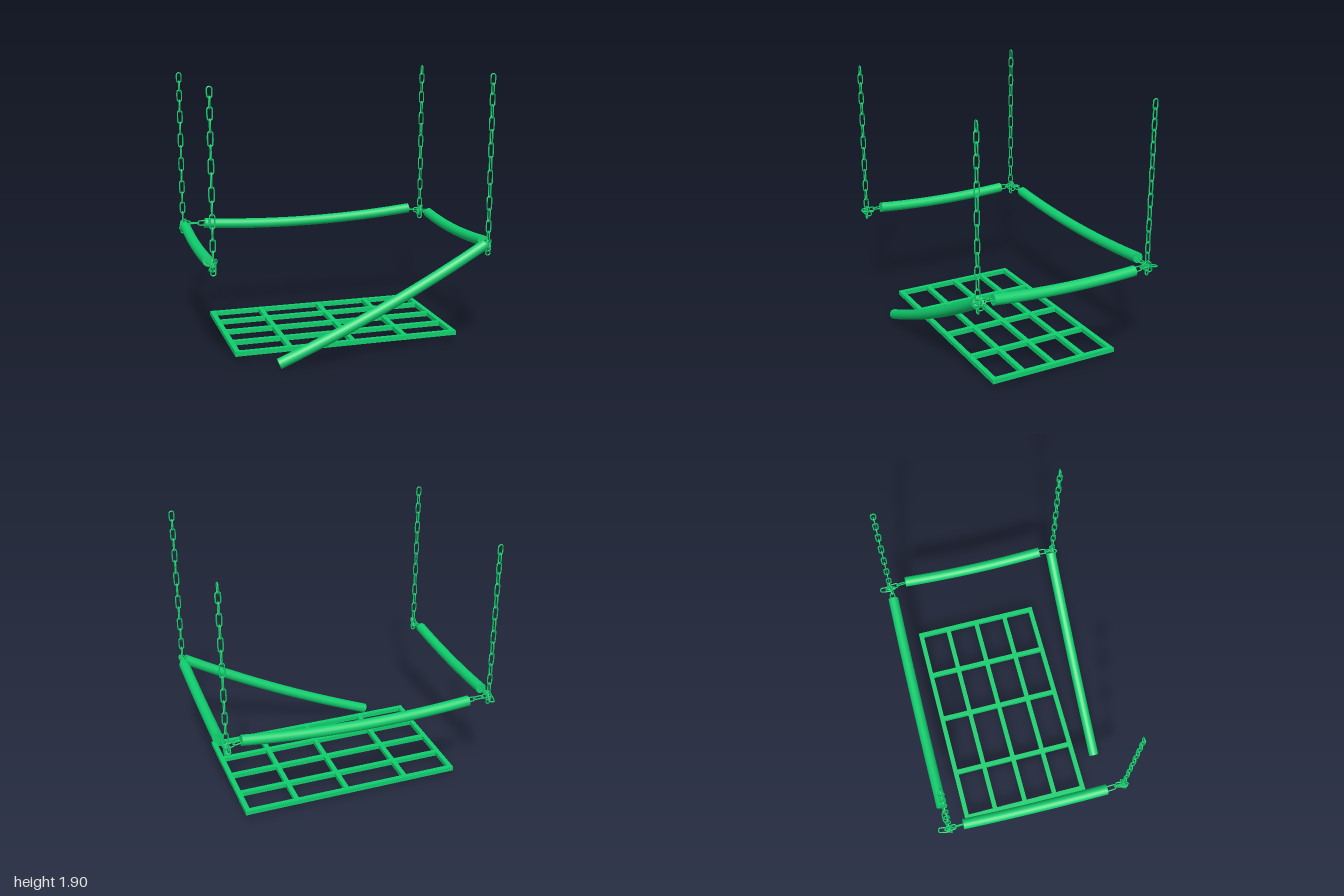
import * as THREE from 'three';

const material = new THREE.MeshStandardMaterial({ color: 0x0fcf6e });
const V = (x, y, z) => new THREE.Vector3(x, y, z);
const UP = V(0, 1, 0);
const WIRE = 0.005;

function add(parent, geometry, name) {
  const mesh = new THREE.Mesh(geometry, material);
  mesh.name = name;
  parent.add(mesh);
  return mesh;
}

// Oval chain link: a torus whose halves are pulled apart along y
function linkGeometry(length) {
  const radius = 0.017;
  const geometry = new THREE.TorusGeometry(radius, WIRE, 6, 16);
  const pos = geometry.attributes.position;
  const stretch = Math.max(0, length / 2 - radius - WIRE);
  for (let i = 0; i < pos.count; i++) {
    const y = pos.getY(i);
    if (Math.abs(y) > 1e-5) pos.setY(i, y + Math.sign(y) * stretch);
  }
  return geometry;
}

// Chain between two points; links turn a quarter turn each and are longest mid-chain
function chain(parent, name, from, to, count, phase = 0, swell = 0) {
  const group = new THREE.Group();
  group.name = name;
  parent.add(group);
  const dir = to.clone().sub(from);
  const total = dir.length();
  dir.normalize();
  const turn = new THREE.Quaternion().setFromUnitVectors(UP, dir);
  const weights = [];
  for (let i = 0; i < count; i++) {
    weights.push(1 + swell * Math.sin(Math.PI * (i + 0.5) / count));
  }
  const unit = (total - 4 * WIRE) / weights.reduce((a, b) => a + b, 0);
  let at = 2 * WIRE;
  weights.forEach((w, i) => {
    const pitch = w * unit;
    const link = add(group, linkGeometry(pitch + 4 * WIRE), 'chainLink');
    link.position.copy(from).addScaledVector(dir, at + pitch / 2);
    link.quaternion.copy(turn);
    link.rotateY((i + phase) % 2 ? Math.PI / 2 : 0);
    at += pitch;
  });
}

// Sagging padded tube with closed ends
function tube(parent, name, from, mid, to, radius = 0.037) {
  const group = new THREE.Group();
  group.name = name;
  parent.add(group);
  const control = mid.clone().multiplyScalar(2).addScaledVector(from, -0.5).addScaledVector(to, -0.5);
  const curve = new THREE.QuadraticBezierCurve3(from, control, to);
  add(group, new THREE.TubeGeometry(curve, 24, radius, 20), 'tubeBody');
  for (const t of [0, 1]) {
    const cap = add(group, new THREE.CircleGeometry(radius, 20), 'tubeEnd');
    cap.position.copy(curve.getPoint(t));
    const out = curve.getTangent(t).multiplyScalar(t ? 1 : -1);
    cap.quaternion.setFromUnitVectors(V(0, 0, 1), out);
  }
}

// Flat lattice near the ground
function lattice(parent) {
  const group = new THREE.Group();
  group.name = 'lattice';
  parent.add(group);
  for (const x of [-0.768, -0.405, 0.042, 0.418, 0.778]) {
    add(group, new THREE.BoxGeometry(0.034, 0.032, 0.95), 'crossBar').position.set(x, 0.08, 0);
  }
  for (const z of [-0.458, -0.235, 0, 0.235, 0.458]) {
    add(group, new THREE.BoxGeometry(1.58, 0.031, 0.034), 'longBar').position.set(0.005, 0.08, z);
  }
}

// Tangle of links where chains meet
function joint(parent, x, y, z, spread) {
  const group = new THREE.Group();
  group.name = 'chainJoint';
  group.position.set(x, y, z);
  parent.add(group);
  const tilts = [[0, 0, 0], [0.5, 1.2, 0.4], [1.45, 0, 0.2], [0.3, 0.6, -0.7]];
  tilts.forEach(([a, b, c], i) => {
    const link = add(group, linkGeometry(0.095), 'jointLink');
    link.rotation.set(a, b, c);
    link.position.set(0, -0.015 + 0.008 * i, i === 2 ? -spread : 0);
  });
}

export function createModel() {
  const model = new THREE.Group();
  model.name = 'hangingFrame';
  lattice(model);

  // Four hanging chains with their joints
  const corners = [
    ['backRightChain', -0.95, -0.61, 1.87, 0],
    ['frontRightChain', -0.95, 0.65, 1.87, 0],
    ['backLeftChain', 0.94, -0.61, 1.89, 1],
    ['frontLeftChain', 0.935, 0.655, 1.91, 0],
  ];
  for (const [name, x, z, top, phase] of corners) {
    chain(model, name, V(x, 0.7, z), V(x, top, z), 15, phase, 0.6);
    joint(model, x, 0.735, z, z < 0 ? 0.035 : 0.01);
  }

  // Three raised tubes and one hanging down to the ground
  tube(model, 'backTube', V(-0.785, 0.74, -0.625), V(0.02, 0.712, -0.622), V(0.84, 0.765, -0.608));
  tube(model, 'rightTube', V(-0.96, 0.745, 0.53), V(-0.955, 0.725, 0.01), V(-0.945, 0.745, -0.51));
  tube(model, 'leftTube', V(0.945, 0.755, 0.555), V(0.95, 0.725, 0.03), V(0.965, 0.742, -0.49));
  tube(model, 'loweredTube', V(-0.525, 0.04, 0.623), V(0.22, 0.371, 0.632), V(0.92, 0.75, 0.64));

  // Short chains from the tube ends to the corners
  const ties = [
    [V(-0.76, 0.74, -0.62), V(-0.97, 0.75, -0.62), 3],
    [V(0.82, 0.76, -0.608), V(0.96, 0.735, -0.61), 2],
    [V(-0.96, 0.745, 0.51), V(-0.95, 0.745, 0.67), 2],
    [V(-0.945, 0.745, -0.49), V(-0.95, 0.745, -0.64), 2],
    [V(0.945, 0.755, 0.535), V(0.937, 0.76, 0.67), 2],
    [V(0.96, 0.742, -0.47), V(0.945, 0.745, -0.64), 2],
  ];
  ties.forEach(([from, to, count], i) => chain(model, 'tieChain', from, to, count, i));
  return model;
}
